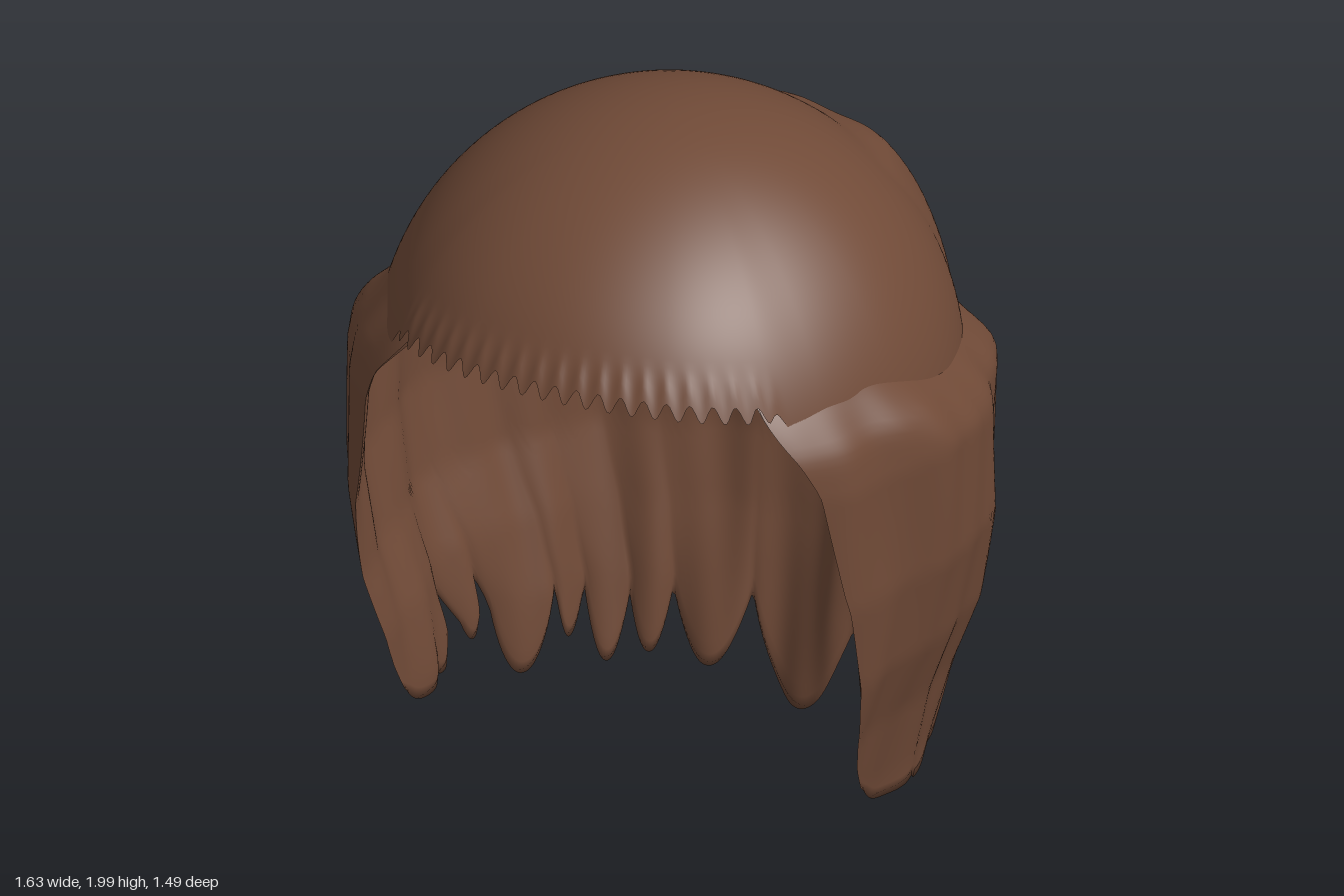
import * as THREE from 'three';

const hair = new THREE.MeshStandardMaterial({ color: 0x704a37, side: THREE.DoubleSide });
hair.name = 'brown hair';

const { lerp, smoothstep, clamp } = THREE.MathUtils;

// Linear lookup in a list of [key, value], keys falling
function lookup(table, k) {
  if (k >= table[0][0]) return table[0][1];
  for (let i = 1; i < table.length; i++) {
    const [k0, v0] = table[i - 1], [k1, v1] = table[i];
    if (k >= k1) return lerp(v1, v0, (k - k1) / (k0 - k1));
  }
  return table[table.length - 1][1];
}

// Skin a grid of points; wrap joins the last column to the first
function gridMesh(name, cols, rows, point, wrap = false) {
  const pos = [], index = [];
  const n = wrap ? cols : cols + 1;
  for (let i = 0; i < n; i++)
    for (let j = 0; j <= rows; j++) pos.push(...point(i / cols, j / rows));
  for (let i = 0; i < cols; i++)
    for (let j = 0; j < rows; j++) {
      const a = i * (rows + 1) + j, c = ((i + 1) % n) * (rows + 1) + j;
      index.push(a, c, a + 1, c, c + 1, a + 1);
    }
  const geo = new THREE.BufferGeometry();
  geo.setAttribute('position', new THREE.Float32BufferAttribute(pos, 3));
  geo.setIndex(index);
  geo.computeVertexNormals();
  const mesh = new THREE.Mesh(geo, hair);
  mesh.name = name;
  return mesh;
}

// Angles run around the head from the back (0), + towards the left side
const CAP = { y: 1.27, z: 0.03, r: 0.73 };

// Smooth cap with a toothed fringe and a raised patch at the back
function capPoint(s, t) {
  const phi = (s * 2 - 1) * Math.PI;
  const front = Math.PI - Math.abs(phi);
  const mask = 1 - smoothstep(front, 0.74, 0.84);
  let hem = 1.57 - 0.05 * Math.min(1, front / 0.77) ** 2;
  hem = lerp(hem, 1.33, smoothstep(front, 0.77, 0.98));
  hem = lerp(hem, 1.29, smoothstep(front, 1.6, 2.4));
  const tooth = Math.cos(front * 78);
  const alpha = t * Math.acos((hem - CAP.y) / CAP.r);
  const nearHem = smoothstep(t, 0.86, 1) * mask;
  const y = CAP.y + CAP.r * Math.cos(alpha) + 0.02 * tooth * nearHem;
  let r = CAP.r * Math.sin(alpha);
  r += 0.035 * (1 - smoothstep(front, 0.4, 1.3)) * smoothstep(t, 0.2, 0.9);
  r += nearHem * (0.008 - 0.008 * tooth);
  const patch = smoothstep(phi, -0.12, 0.06) * (1 - smoothstep(phi, 0.6, 0.95));
  const rise = smoothstep(1.79 - y, 0, 0.07) * (1 - smoothstep(1.36 - y, 0, 0.07));
  r += patch * rise * (0.05 + 0.006 * Math.sin(phi * 15));
  return [r * Math.sin(phi), y, CAP.z - r * Math.cos(phi)];
}

// Curtain outline by height: half width, back depth, angle of the front edge
const WIDTH = [[1.5, 0.74], [1.4, 0.79], [1.28, 0.81], [0.95, 0.805], [0.7, 0.76], [0.5, 0.69], [0.3, 0.645], [0, 0.6]];
const BACK = [[1.4, 0.725], [1.25, 0.73], [0.95, 0.73], [0.7, 0.715], [0.5, 0.675], [0.3, 0.62], [0, 0.53]];
const EDGE = [[1.52, 2.4], [1.3, 2.28], [1, 2.2], [0.6, 2.05], [0.4, 1.95], [0.3, 1.88]];
// Locks of the hem: start angle, height of the tip, height of the gap before it
const LOCKS = [[-1.9, 0.23, 0.31], [-1.63, 0.21, 0.25], [-1.4, 0.24, 0.4], [-1.22, 0.1, 0.4], [-0.9, 0.16, 0.3],
  [-0.75, 0.08, 0.27], [-0.57, 0.1, 0.24], [-0.4, 0.08, 0.26], [-0.08, 0.01, 0.27], [0.4, 0.09, 0.26],
  [0.68, 0.12, 0.32], [1.08, 0.13, 0.36], [1.25, 0.26, 0.43], [1.43, 0.22, 0.28], [1.63, 0.23, 0.25], [1.9, 0.2, 0.31]];

function hemHeight(u) {
  const p = clamp(u * 1.9, -1.8999, 1.8999);
  const k = LOCKS.findIndex((l) => l[0] > p) - 1;
  const [p0, tip, gap0] = LOCKS[k], [p1, , gap1] = LOCKS[k + 1];
  const t = (p - p0) / (p1 - p0) * 2 - 1;
  return lerp(tip, t < 0 ? gap0 : gap1, Math.abs(t) ** 2.2);
}

// Long hair: outer face from the seam to the hem, then the inner face back up
function curtainPoint(s, w) {
  const u = s * 2 - 1;
  const inner = w > 0.5;
  const t = (inner ? 1 - w : w) * 2;
  const around = Math.abs(u) * 2.3;
  const top = 1.34 + 0.06 * smoothstep(around, 0.6, 1.5) + 0.14 * smoothstep(around, 1.4, 2);
  const y = lerp(top, hemHeight(u), t ** 1.25);
  const phi = u * lookup(EDGE, y);
  const W = lookup(WIDTH, y), B = lookup(BACK, y);

  // Broad wavy strands, deeper towards the ends
  const low = smoothstep(1.4 - y, 0, 1);
  const wave = Math.sin(phi * 9 + 1.4 * Math.sin(y * 3)) + 0.8 * Math.sin(phi * 16 - y * 2.4 + 1)
    + 0.3 * Math.sin(phi * 31 + y * 3);
  const thick = (0.004 + 0.036 * (1 - t ** 6)) * (1 - Math.abs(u) ** 30);
  const off = wave * lerp(0.008, 0.012, low) - (inner ? thick : 0);
  const c = Math.cos(phi), n = Math.sin(phi);
  let x = (W + off) * n;
  let z = -((c > 0 ? B : lerp(B, 0.78, Math.min(1, -c * 2.5))) + off) * c;

  // Rounded shoulder tucked into the cap
  const d = Math.min(1, (top - y) / lerp(0.11, 0.2, smoothstep(around, 0.8, 1.8)));
  const puff = Math.sin(d * Math.PI / 2);
  const r = Math.sqrt(Math.max(0, CAP.r ** 2 - (y - CAP.y) ** 2)) - (inner ? 0.03 : 0.008);
  x = lerp(r * n, x, puff);
  z = lerp(CAP.z - r * c, z, puff);
  return [x, y, z];
}

export function createModel() {
  const group = new THREE.Group();
  group.name = 'wig';
  group.add(gridMesh('cap', 640, 40, capPoint, true));
  group.add(gridMesh('longHair', 320, 100, curtainPoint));
  return group;
}
